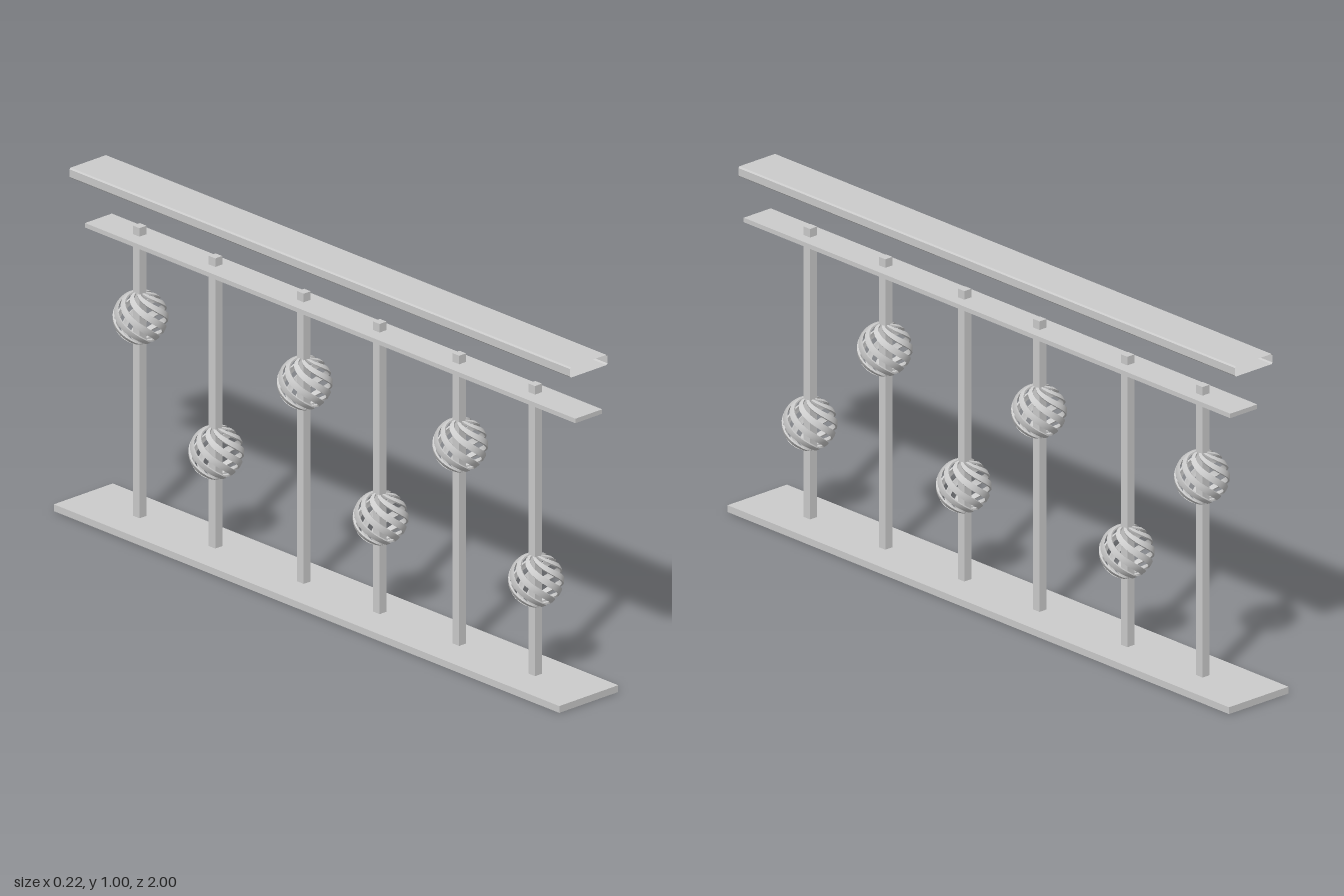
import * as THREE from 'three';

const material = new THREE.MeshStandardMaterial({ color: 0xcccccc });
const sheetMaterial = new THREE.MeshStandardMaterial({ color: 0xcccccc, side: THREE.DoubleSide, flatShading: true });

// Box given by its lower and upper limits on each axis
function bar(name, [x0, x1], [y0, y1], [z0, z1]) {
  const mesh = new THREE.Mesh(new THREE.BoxGeometry(x1 - x0, y1 - y0, z1 - z0), material);
  mesh.position.set((x0 + x1) / 2, (y0 + y1) / 2, (z0 + z1) / 2);
  mesh.name = name;
  return mesh;
}

// Hollow handrail, open at both ends, with small chamfered corners
function handrail() {
  const w = 0.07, c = 0.004, y0 = 0.97, y1 = 1, zBack = -0.98, zFront = 1;
  const profile = [
    [w - c, y0], [w, y0 + c], [w, y1 - c], [w - c, y1],
    [c - w, y1], [-w, y1 - c], [-w, y0 + c], [c - w, y0],
  ];
  const points = [];
  profile.forEach(([ax, ay], i) => {
    const [bx, by] = profile[(i + 1) % profile.length];
    points.push(ax, ay, zBack, bx, by, zFront, ax, ay, zFront);
    points.push(ax, ay, zBack, bx, by, zBack, bx, by, zFront);
  });
  const geometry = new THREE.BufferGeometry();
  geometry.setAttribute('position', new THREE.Float32BufferAttribute(points, 3));
  geometry.computeVertexNormals();
  const mesh = new THREE.Mesh(geometry, sheetMaterial);
  mesh.name = 'handrail';
  return mesh;
}

// One thin band twisting from pole to pole: a box bent onto a sphere
function ribbonGeometry(radius, thickness) {
  const geometry = new THREE.BoxGeometry(1, 1, 1, 3, 24, 1);
  const p = geometry.attributes.position;
  const latitudeRange = THREE.MathUtils.degToRad(156);
  const twist = THREE.MathUtils.degToRad(210);
  for (let i = 0; i < p.count; i++) {
    const lat = p.getY(i) * latitudeRange;
    const lon = p.getX(i) * 0.4 - p.getY(i) * twist;
    const r = radius + (p.getZ(i) - 0.5) * thickness;
    p.setXYZ(i, r * Math.cos(lat) * Math.sin(lon), r * Math.sin(lat), r * Math.cos(lat) * Math.cos(lon));
  }
  geometry.computeVertexNormals();
  return geometry;
}

export function createModel() {
  const model = new THREE.Group();
  model.name = 'railing';

  model.add(bar('base', [-0.11, 0.11], [0, 0.02], [-1, 1]));
  model.add(bar('upperRail', [-0.05, 0.05], [0.832, 0.845], [-0.94, 1]));
  model.add(handrail());

  // Posts, each with a basket ball set low or high in turn
  const ribbon = ribbonGeometry(0.076, 0.005);
  const ribbonCount = 8;
  [0.785, 0.485, 0.17, -0.13, -0.48, -0.78].forEach((z, i) => {
    model.add(bar('post', [-0.01, 0.016], [0.01, 0.87], [z - 0.013, z + 0.013]));
    const ball = new THREE.Group();
    ball.name = 'basketBall';
    ball.position.set(0.006, i % 2 ? 0.602 : 0.295, z);
    for (let k = 0; k < ribbonCount; k++) {
      const band = new THREE.Mesh(ribbon, material);
      band.name = 'ribbon';
      band.rotation.y = (k / ribbonCount) * Math.PI * 2;
      ball.add(band);
    }
    model.add(ball);
  });

  return model;
}
